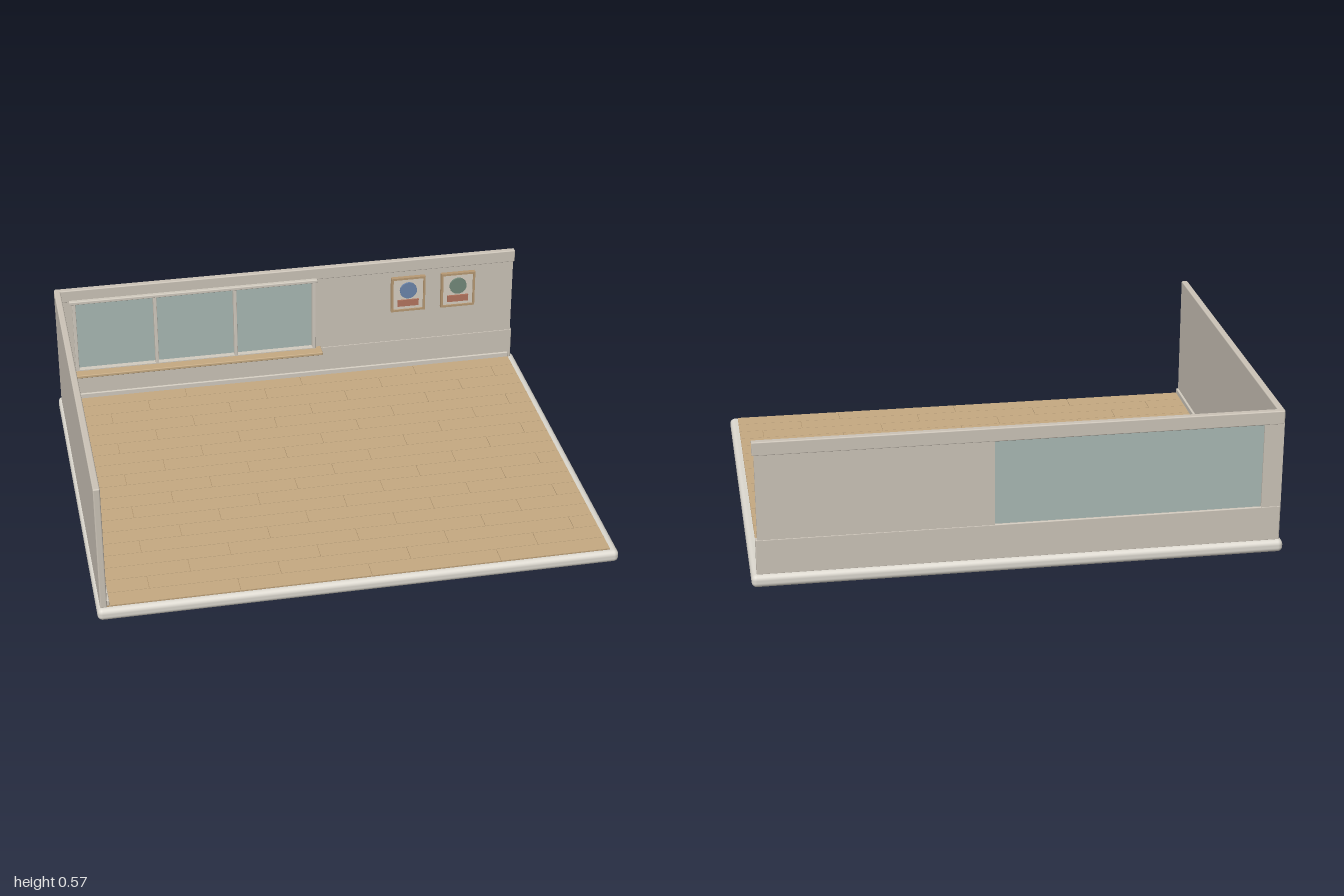
import * as THREE from 'three';
import { RoundedBoxGeometry } from 'three/addons/geometries/RoundedBoxGeometry.js';

const mat = (color) => new THREE.MeshStandardMaterial({ color });
const M = {
  base: mat(0xdcd8cf), wall: mat(0xccc4b8), trim: mat(0xd2cbbf), wood: mat(0xc6aa82),
  subfloor: mat(0xb4966e), glass: mat(0xa9b9b4), frame: mat(0xb89a74), mat: mat(0xd8d0c2),
  blue: mat(0x6c86ac), green: mat(0x73897a), red: mat(0xb5765f),
};

// Box given by its limits on each axis, with optional rounded edges
function box(parent, name, material, [x0, x1], [y0, y1], [z0, z1], r = 0) {
  const w = x1 - x0, h = y1 - y0, d = z1 - z0;
  const geo = r ? new RoundedBoxGeometry(w, h, d, 3, r) : new THREE.BoxGeometry(w, h, d);
  const mesh = new THREE.Mesh(geo, material);
  mesh.name = name;
  mesh.position.set((x0 + x1) / 2, (y0 + y1) / 2, (z0 + z1) / 2);
  parent.add(mesh);
  return mesh;
}

function group(parent, name) {
  const g = new THREE.Group();
  g.name = name;
  parent.add(g);
  return g;
}

// Rows of floor boards with staggered joints and hairline gaps
function addFloor(root) {
  const floor = group(root, 'floor');
  const x0 = -0.962, x1 = 0.968, z0 = -0.745, z1 = 0.765, rows = 19, gap = 0.001;
  box(floor, 'subfloor', M.subfloor, [x0, x1], [0.045, 0.052], [z0, z1]);
  const step = (z1 - z0) / rows, length = 0.5;
  for (let i = 0; i < rows; i++) {
    const z = z0 + i * step;
    for (let x = x0 - (i % 3) * length / 3; x < x1; x += length) {
      const a = Math.max(x, x0), b = Math.min(x + length, x1);
      if (b - a < 0.01) continue;
      box(floor, 'floorBoard', M.wood, [a + gap, b - gap], [0.05, 0.055], [z + gap, z + step - gap]);
    }
  }
}

// Back wall built as bands and piers around the window opening
function addWalls(root) {
  const back = group(root, 'backWall');
  const z = [-0.77, -0.744];
  box(back, 'lowerBand', M.wall, [-0.985, 0.98], [0.047, 0.187], z, 0.004);
  box(back, 'upperBand', M.wall, [-0.985, 0.98], [0.517, 0.57], z, 0.004);
  box(back, 'cornerPier', M.wall, [-0.985, -0.91], [0.18, 0.522], [-0.769, -0.745]);
  box(back, 'widePier', M.wall, [0.1, 0.973], [0.18, 0.522], [-0.769, -0.745]);
  box(root, 'sideWall', M.wall, [-0.988, -0.962], [0.047, 0.57], [-0.765, 0.768], 0.005);

  const skirting = group(root, 'skirting');
  box(skirting, 'backSkirting', M.trim, [-0.962, 0.966], [0.052, 0.076], [-0.746, -0.736], 0.003);
  box(skirting, 'sideSkirting', M.trim, [-0.964, -0.953], [0.052, 0.076], [-0.744, 0.763], 0.003);
}

function addWindow(root) {
  const win = group(root, 'window');
  box(win, 'glass', M.glass, [-0.912, 0.102], [0.186, 0.518], [-0.762, -0.754]);
  for (const x of [-0.912, -0.574, -0.236, 0.102])
    box(win, 'mullion', M.trim, [x - 0.007, x + 0.007], [0.188, 0.516], [-0.756, -0.73], 0.002);
  box(win, 'headRail', M.trim, [-0.93, 0.117], [0.51, 0.524], [-0.75, -0.727], 0.003);
  box(win, 'bottomRail', M.trim, [-0.915, 0.106], [0.188, 0.197], [-0.756, -0.73]);
  box(win, 'sill', M.wood, [-0.945, 0.132], [0.18, 0.193], [-0.75, -0.688], 0.003);
}

// Framed picture with a round motif above a bar
function addPicture(root, name, x, discMaterial) {
  const pic = group(root, name);
  pic.position.set(x, 0.415, -0.745);
  const hw = 0.074, hh = 0.08, t = 0.009;
  box(pic, 'mount', M.mat, [-hw + 0.003, hw - 0.003], [-hh + 0.003, hh - 0.003], [0, 0.012]);
  for (const s of [-1, 1]) {
    const side = [s * hw, s * (hw - t)].sort((a, b) => a - b);
    const rail = [s * hh, s * (hh - t)].sort((a, b) => a - b);
    box(pic, 'frameSide', M.frame, side, [-hh, hh], [0, 0.018]);
    box(pic, 'frameRail', M.frame, [-hw, hw], rail, [0, 0.018]);
  }
  const disc = new THREE.Mesh(new THREE.CylinderGeometry(0.037, 0.037, 0.008, 24), discMaterial);
  disc.name = 'roundMotif';
  disc.rotation.x = Math.PI / 2;
  disc.position.set(0, 0.019, 0.016);
  pic.add(disc);
  box(pic, 'bar', M.red, [-0.046, 0.046], [-0.056, -0.026], [0.01, 0.018]);
}

export function createModel() {
  const root = new THREE.Group();
  root.name = 'room';
  box(root, 'base', M.base, [-1, 1], [0, 0.05], [-0.787, 0.787], 0.02);
  addFloor(root);
  addWalls(root);
  addWindow(root);
  addPicture(root, 'bluePicture', 0.511, M.blue);
  addPicture(root, 'greenPicture', 0.729, M.green);
  return root;
}
